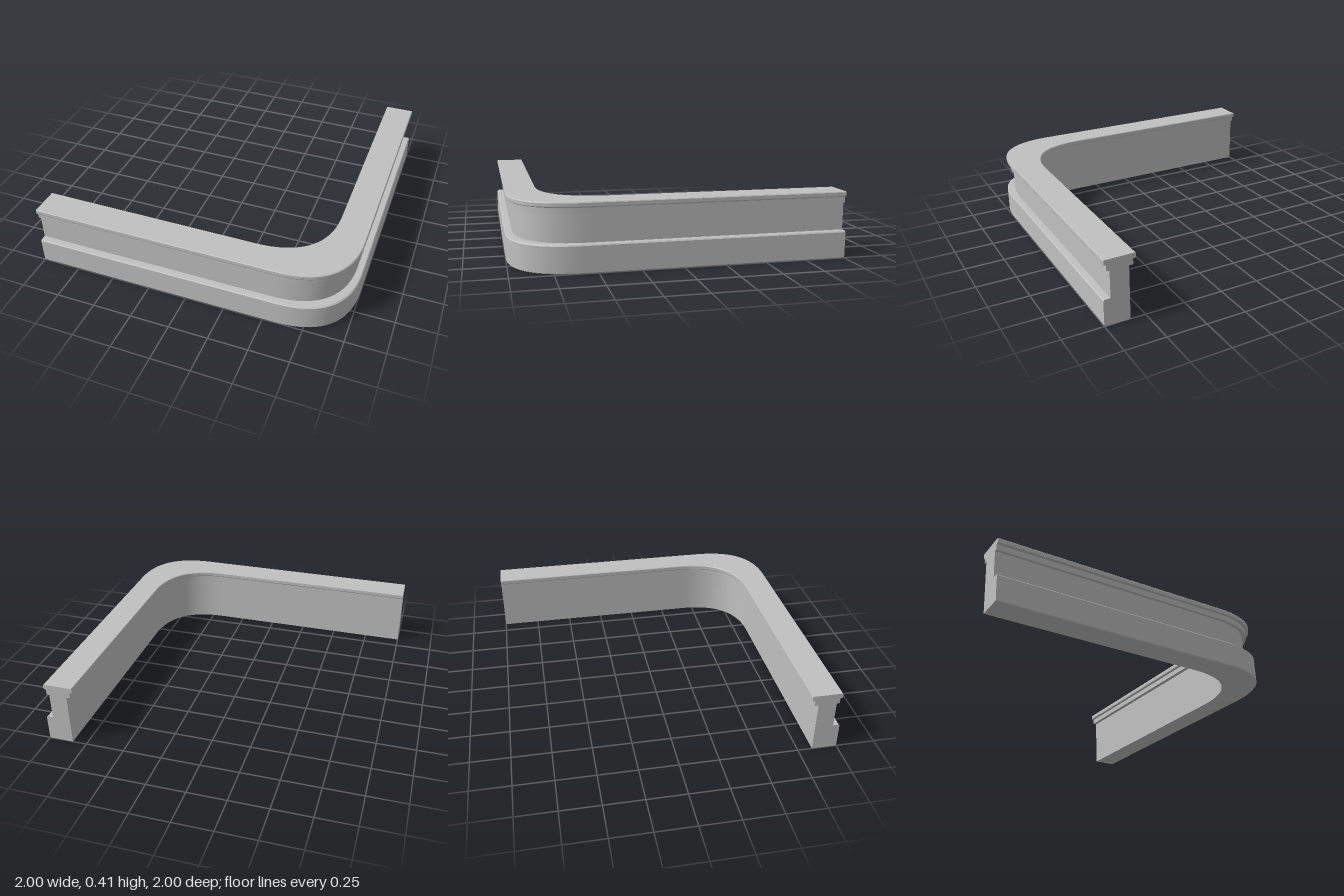
import * as THREE from 'three';

// Moulding cross-section: [inset from the outer face, height], up the outside and down the inside
const PROFILE = [
  [0.004, 0], [0, 0.005], [0, 0.159], [0.006, 0.166],
  [0.043, 0.167], [0.043, 0.335], [0.025, 0.335], [0.025, 0.371],
  [0.012, 0.375], [0.01, 0.38], [0.01, 0.4], [0.014, 0.405],
  [0.197, 0.405], [0.2, 0.4], [0.2, 0.378], [0.197, 0.373],
  [0.183, 0.371], [0.183, 0.337], [0.158, 0.335], [0.158, 0],
];
const BEND = 0.42;   // length of each arm taken up by the rounded corner
const STEPS = 32;

// Plan path of one profile point; each inset repeats the same corner curve
function planPath(inset) {
  const c = 1 - inset;
  const curve = new THREE.QuadraticBezierCurve(
    new THREE.Vector2(c - BEND, c), new THREE.Vector2(c, c), new THREE.Vector2(c, c - BEND));
  return [
    new THREE.Vector2(-1, c), new THREE.Vector2(c - BEND - 0.02, c),
    ...curve.getPoints(STEPS),
    new THREE.Vector2(c, c - BEND - 0.02), new THREE.Vector2(c, -1),
  ];
}

// One band of surface between two neighbouring profile points, smooth along the path
function band(p, q) {
  const low = planPath(p[0]), high = planPath(q[0]);
  const positions = [], index = [];
  low.forEach((a, i) => {
    const b = high[i];
    positions.push(a.x, p[1], a.y, b.x, q[1], b.y);
    if (i > 0) {
      const k = 2 * (i - 1);
      index.push(k, k + 2, k + 3, k, k + 3, k + 1);
    }
  });
  const geometry = new THREE.BufferGeometry();
  geometry.setAttribute('position', new THREE.Float32BufferAttribute(positions, 3));
  geometry.setIndex(index);
  geometry.computeVertexNormals();
  return geometry;
}

// Flat cross-section that closes an arm
function endCap(sign) {
  return new THREE.ShapeGeometry(
    new THREE.Shape(PROFILE.map(([d, y]) => new THREE.Vector2(sign * (1 - d), y))));
}

export function createModel() {
  const model = new THREE.Group();
  model.name = 'cornerMoulding';
  const grey = new THREE.MeshStandardMaterial({ color: 0xc0c0c0 });
  grey.name = 'light grey';

  const add = (parent, name, geometry) => {
    const mesh = new THREE.Mesh(geometry, grey);
    mesh.name = name;
    parent.add(mesh);
  };

  // Swept faces, grouped by the part of the moulding they belong to
  const parts = [
    ['basePlinth', 0, 4], ['recessedWeb', 4, 5], ['outerCornice', 5, 11],
    ['topFace', 11, 12], ['innerCornice', 12, 18], ['innerWall', 18, 19], ['underside', 19, 20],
  ];
  for (const [name, from, to] of parts) {
    const group = new THREE.Group();
    group.name = name;
    for (let j = from; j < to; j++) {
      add(group, name + 'Band', band(PROFILE[j], PROFILE[(j + 1) % PROFILE.length]));
    }
    model.add(group);
  }

  // End faces of the two arms
  add(model, 'rightArmEnd', endCap(1).rotateY(-Math.PI / 2).translate(-1, 0, 0));
  add(model, 'backArmEnd', endCap(-1).rotateY(Math.PI).translate(0, 0, -1));
  return model;
}
